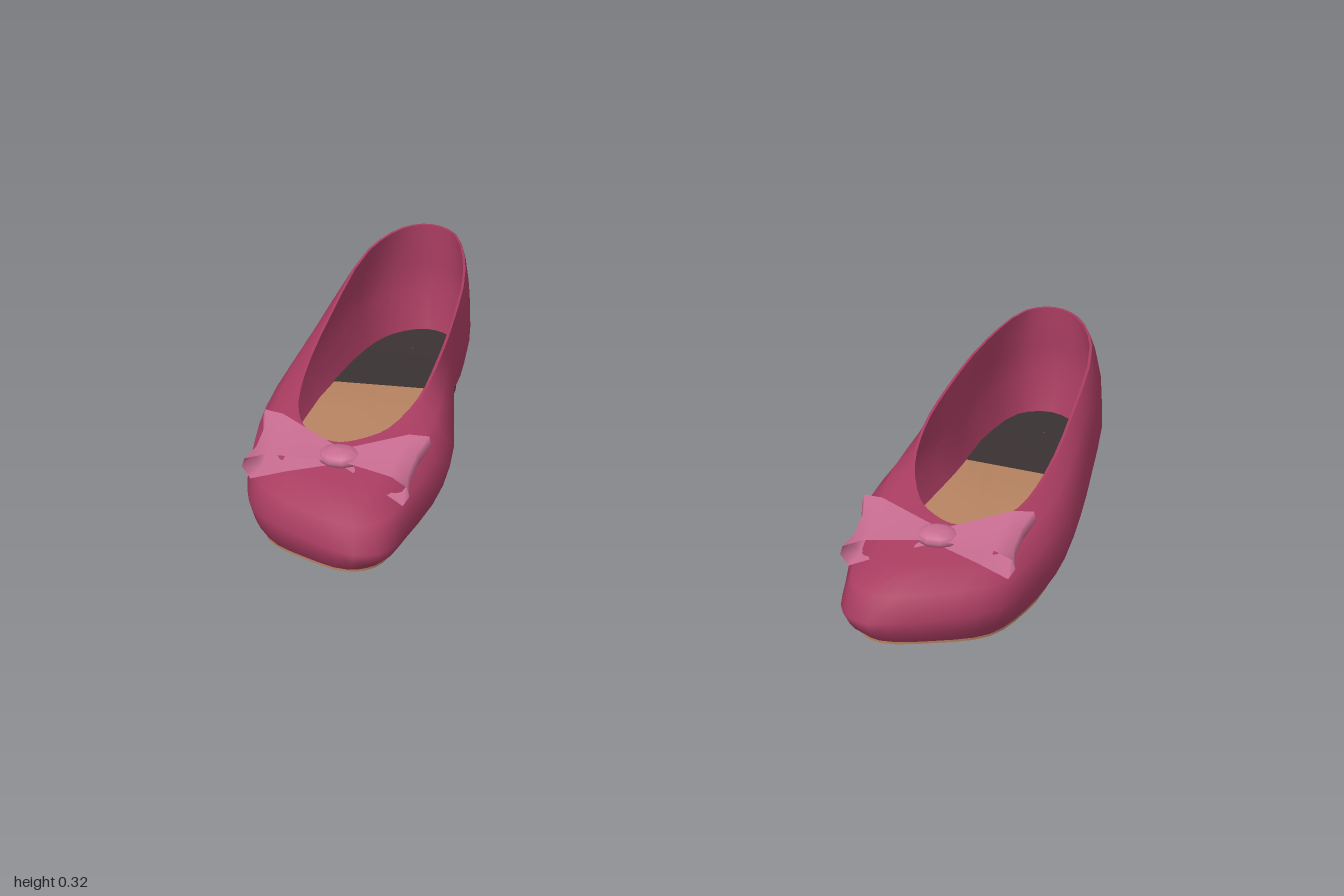
import * as THREE from 'three';

const V = (x, y, z) => new THREE.Vector3(x, y, z);
const N = 48; // samples around the shoe
const CX = 0.76; // middle of the left shoe

// Stations from heel, round the outer side to the toe and back along the inner side:
// widest line x, y, z, then opening rim x, y, z
const STATIONS = [
  [0.77, 0.16, -0.61, 0.765, 0.327, -0.6],
  [0.86, 0.15, -0.57, 0.83, 0.323, -0.575],
  [0.914, 0.14, -0.48, 0.89, 0.306, -0.48],
  [0.968, 0.13, -0.19, 0.915, 0.268, -0.22],
  [0.996, 0.11, 0.1, 0.915, 0.234, 0.03],
  [0.972, 0.1, 0.31, 0.89, 0.217, 0.17],
  [0.914, 0.1, 0.46, 0.845, 0.212, 0.245],
  [0.78, 0.1, 0.552, 0.795, 0.213, 0.278],
  [0.63, 0.1, 0.608, 0.75, 0.215, 0.285],
  [0.562, 0.1, 0.57, 0.7, 0.22, 0.262],
  [0.535, 0.11, 0.45, 0.65, 0.226, 0.21],
  [0.51, 0.13, 0.18, 0.605, 0.255, 0.1],
  [0.565, 0.14, -0.06, 0.595, 0.285, -0.03],
  [0.6, 0.14, -0.2, 0.605, 0.298, -0.2],
  [0.62, 0.14, -0.4, 0.64, 0.308, -0.44],
  [0.68, 0.15, -0.57, 0.7, 0.323, -0.575],
];

const loop = (offset) => {
  const curve = new THREE.CatmullRomCurve3(
    STATIONS.map((s) => V(s[offset], s[offset + 1], s[offset + 2])), true);
  return Array.from({ length: N }, (_, i) => curve.getPoint(i / N));
};

// Height of the underside, slightly higher toward the inner edge
const SOLE = [[-0.62, 0.014], [-0.4, 0.018], [-0.17, 0.031], [0.02, 0.014], [0.2, 0.001], [0.45, 0.006], [0.62, 0.018]];
function soleY(x, z) {
  let i = 0;
  while (i < SOLE.length - 2 && z > SOLE[i + 1][0]) i++;
  const [a, b] = [SOLE[i], SOLE[i + 1]];
  const t = THREE.MathUtils.clamp((z - a[0]) / (b[0] - a[0]), 0, 1);
  return a[1] + (b[1] - a[1]) * t + 0.06 * (0.955 - x);
}

// Surface through rings of matching points
function skin(rings, closed = true) {
  const n = rings[0].length, idx = [];
  for (let j = 0; j < rings.length - 1; j++) {
    for (let i = 0; i < (closed ? n : n - 1); i++) {
      const a = j * n + i, b = j * n + (i + 1) % n;
      idx.push(a, a + n, b, b, a + n, b + n);
    }
  }
  const g = new THREE.BufferGeometry().setFromPoints(rings.flat());
  g.setIndex(idx);
  g.computeVertexNormals();
  return g;
}

// Filled outline whose height follows a rule
function disc(outline, height, faceDown = false) {
  const c = outline.reduce((s, p) => s.add(p), V(0, 0, 0)).divideScalar(outline.length);
  const rings = [1, 0.75, 0.5, 0.25, 0.01].map((k) => outline.map((p) => {
    const x = c.x + (p.x - c.x) * k, z = c.z + (p.z - c.z) * k;
    return V(x, height(x, z), z);
  }));
  return skin(faceDown ? rings.reverse() : rings);
}

// Heel end of an outline, cut straight across
function heelPart(outline, cut) {
  const kept = outline.filter((p) => p.z < cut).map((p) => p.clone());
  kept.forEach((p, i) => {
    const q = kept[(i + 1) % kept.length];
    if (p.distanceTo(q) > 0.15) p.z = q.z = cut;
  });
  return kept;
}

// One side of the bow: a flat ribbon loop that widens outward
function bowLoop(root, tip, halfWidth) {
  const profile = [[0, 0.006], [0.35, 0.022], [0.75, 0.04], [1, 0.034], [1.03, 0.012],
    [0.93, -0.022], [0.5, -0.012], [0, -0.006]];
  const rows = [-1, -0.4, 0.4, 1].map((w) => profile.map(([u, v]) => {
    const p = root.clone().lerp(tip, u);
    const pinch = 1 - 0.12 * (1 - Math.abs(w)) * u;
    p.x = root.x + (p.x - root.x) * pinch;
    p.z += w * (0.028 + (halfWidth - 0.028) * Math.min(u, 1));
    p.y += v + 0.008 * Math.cos(w * 5) * u - 0.16 * (p.z - 0.36);
    return p;
  }));
  return skin(rows, false);
}

function mirrored(geometry) {
  const g = geometry.clone().scale(-1, 1, 1);
  const a = g.index.array;
  for (let i = 0; i < a.length; i += 3) [a[i], a[i + 1]] = [a[i + 1], a[i]];
  g.computeVertexNormals();
  return g;
}

export function createModel() {
  const mat = (name, color, side = THREE.FrontSide) =>
    Object.assign(new THREE.MeshStandardMaterial({ color, side }), { name });
  const leather = mat('berry leather', 0xa83c60, THREE.DoubleSide);
  const ribbon = mat('pink ribbon', 0xc76c90, THREE.DoubleSide);
  const tan = mat('tan sole', 0xb58260);
  const dark = mat('dark heel', 0x3a3233);

  const left = new THREE.Group();
  left.name = 'leftShoe';
  const add = (name, geometry, material) => {
    const m = new THREE.Mesh(geometry, material);
    m.name = name;
    left.add(m);
  };

  const wide = loop(0), rim = loop(3);
  const inset = (pts, kx, kz, height) => pts.map((p) => {
    const x = CX + (p.x - CX) * kx, z = p.z * kz;
    return V(x, height ? height(x, z) : p.y, z);
  });
  const between = (a, b, t, ty) => a.map((p, i) => {
    const q = p.clone().lerp(b[i], t);
    q.y = p.y + (b[i].y - p.y) * ty;
    return q;
  });

  // Upper, outside: from the sole edge over the widest line to the rim
  const edge = inset(wide, 0.82, 0.94, (x, z) => soleY(x, z) + 0.006);
  add('upper', skin([edge, between(edge, wide, 0.6, 0.4), wide,
    between(wide, rim, 0.12, 0.5), between(wide, rim, 0.5, 0.8), rim]), leather);

  // Rim and lining
  const lip = inset(rim, 0.96, 0.99);
  const inner = inset(wide, 0.93, 0.97);
  const bed = (x, z) => soleY(x, z) + 0.03;
  const insole = inset(wide, 0.8, 0.92, bed);
  const lowered = (pts) => pts.map((p) => V(p.x, p.y - 0.012, p.z));
  add('rim', skin([rim, lip]), leather);
  add('lining', skin([lip, lowered(between(inner, lip, 0.5, 0.8)),
    lowered(between(inner, lip, 0.12, 0.5)), inner, insole]), leather);

  // Footbed with a dark heel pad
  add('insole', disc(insole, bed), tan);
  add('heelPad', disc(heelPart(insole, -0.255), (x, z) => bed(x, z) + 0.006), dark);

  // Outsole and low heel
  const ground = inset(wide, 0.82, 0.94, soleY);
  add('soleEdge', skin([ground, edge]), tan);
  add('sole', disc(ground, soleY, true), tan);
  const heelTop = heelPart(inset(wide, 0.81, 0.932, (x, z) => soleY(x, z) + 0.004), -0.25);
  const heelBottom = heelTop.map((p) => V(p.x, 0.016, p.z));
  add('heelSide', skin([heelBottom, heelTop]), dark);
  add('heelBase', disc(heelBottom, () => 0.016, true), dark);

  // Bow
  add('bowInnerLoop', bowLoop(V(0.72, 0.214, 0.35), V(0.535, 0.208, 0.375), 0.1), ribbon);
  add('bowOuterLoop', bowLoop(V(0.75, 0.214, 0.35), V(0.945, 0.204, 0.345), 0.095), ribbon);
  const knot = new THREE.SphereGeometry(1, 10, 6);
  knot.scale(0.055, 0.022, 0.046).translate(0.735, 0.216, 0.35);
  add('bowKnot', knot, ribbon);

  // Right shoe
  const right = new THREE.Group();
  right.name = 'rightShoe';
  for (const m of left.children) {
    const copy = new THREE.Mesh(mirrored(m.geometry), m.material);
    copy.name = m.name;
    right.add(copy);
  }

  const model = new THREE.Group();
  model.name = 'balletFlats';
  model.add(left, right);
  return model;
}
